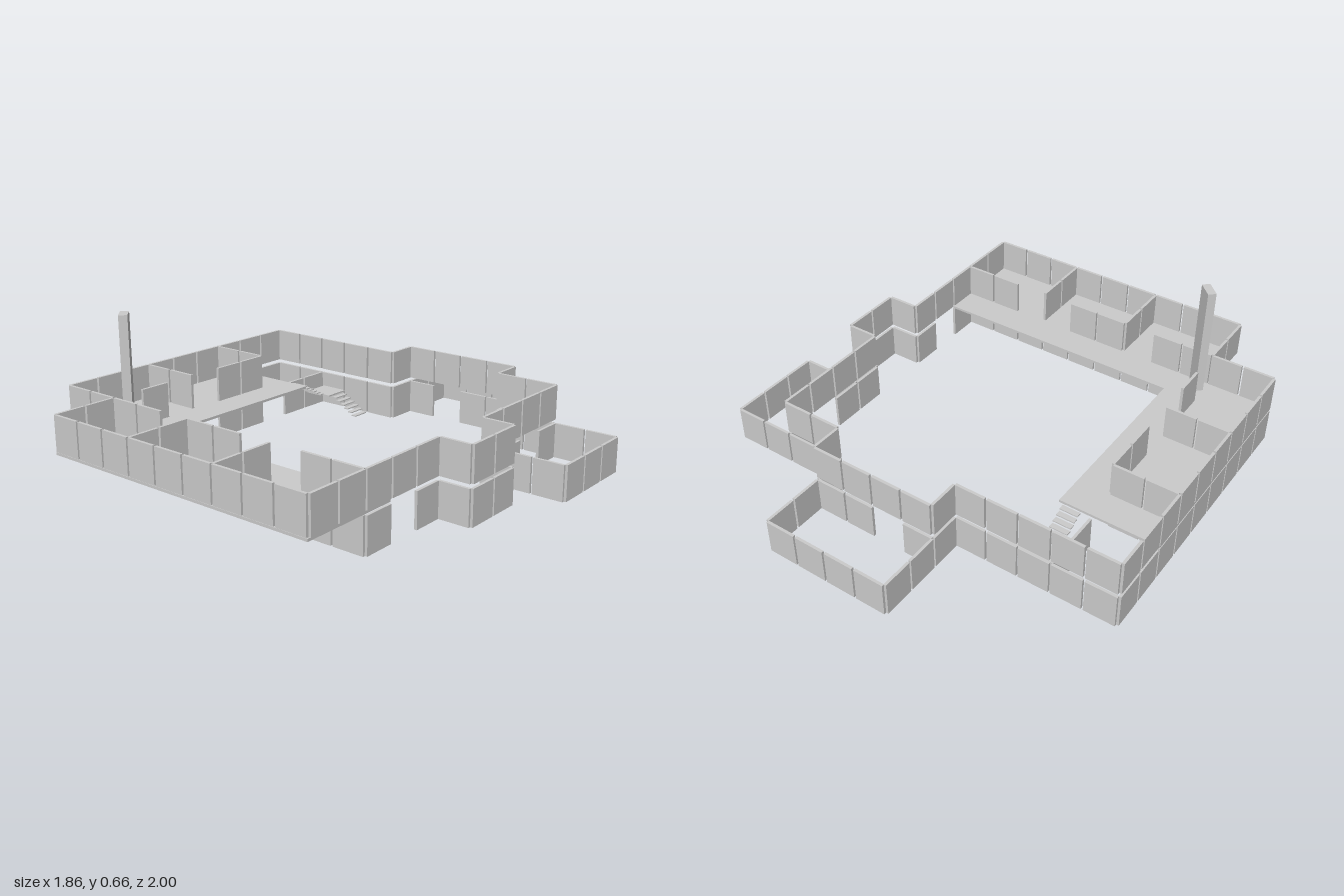
import * as THREE from 'three';

const P = 0.1422;                       // wall panel pitch
const gx = i => -0.925 + i * P;         // grid columns
const gz = j => -0.995 + j * P;         // grid rows
const grey = new THREE.MeshStandardMaterial({ color: 0xcccccc, flatShading: true });

function box(parent, name, w, h, d, x, y, z) {
  const m = new THREE.Mesh(new THREE.BoxGeometry(w, h, d), grey);
  m.position.set(x, y, z);
  m.name = name;
  parent.add(m);
  return m;
}

// Rows of panels: ['x', row, from, to] runs along x, ['z', column, from, to] runs along z
function walls(name, y0, runs) {
  const g = new THREE.Group();
  g.name = name;
  const L = 0.133, H = 0.149, T = 0.012;
  for (const [axis, line, a, b] of runs)
    for (let k = a; k < b; k++) {
      if (axis === 'x') box(g, 'wallPanel', L, H, T, gx(k + 0.5), y0 + H / 2, gz(line));
      else box(g, 'wallPanel', T, H, L, gx(line), y0 + H / 2, gz(k + 0.5));
    }
  return g;
}

// Runs found on both storeys
const shared = [
  ['z', 0, 3, 12], ['x', 3, 0, 5], ['x', 12, 0, 2],          // left wing
  ['z', 2, 6, 8], ['z', 2, 10, 11], ['x', 6, 0, 2], ['x', 9, 0, 2], // left wing rooms
  ['x', 7, 11, 12], ['z', 12, 7, 9], ['x', 9, 11, 12],       // side bay
];

const lower = [
  ...shared,
  ['x', 12, 2, 11],                                          // front
  ['z', 2, 3, 5],                                            // room beside the stairs
  ['z', 5, 0, 3], ['z', 9, 0, 3], ['x', 0, 5, 9],            // back room
  ['x', 2, 5, 6], ['x', 2, 7, 9],
  ['x', 3, 9, 13], ['z', 13, 3, 6], ['x', 6, 11, 13],        // side room
  ['z', 11, 3, 4], ['z', 11, 5, 7],
  ['z', 11, 9, 10], ['z', 11, 11, 12],                       // beside the doorway
];

const upper = [
  ...shared,
  ['z', 2, 12, 14], ['x', 14, 2, 11], ['z', 11, 9, 14],      // overhanging front
  ['x', 12, 2, 4], ['x', 12, 5, 7], ['x', 12, 9, 11],        // front rooms
  ['z', 5, 12, 14], ['z', 8, 12, 14],
  ['z', 11, 3, 7], ['x', 3, 9, 11],                          // back
  ['z', 9, 2, 3], ['x', 2, 5, 9], ['z', 5, 2, 3],
];

function floorSlab() {
  const pts = [[-0.93, -0.283], [-0.497, -0.283], [-0.497, 0.57], [0.638, 0.57],
    [0.638, 1.0], [-0.64, 1.0], [-0.64, 0.71], [-0.93, 0.71]];
  const shape = new THREE.Shape(pts.map(([x, z]) => new THREE.Vector2(x, -z)));
  const geo = new THREE.ExtrudeGeometry(shape, { depth: 0.011, bevelEnabled: false });
  geo.rotateX(-Math.PI / 2);
  const m = new THREE.Mesh(geo, grey);
  m.position.y = 0.154;
  m.name = 'upperFloor';
  return m;
}

function stairs() {
  const g = new THREE.Group();
  g.name = 'stairs';
  const n = 6, step = 0.0235;
  for (let i = 0; i < n; i++) {
    box(g, 'lowerTread', step, 0.005, 0.08, -0.357 - i * step, 0.006 + i * 0.0133, -0.5);
    box(g, 'upperTread', 0.08, 0.005, step, -0.558, 0.09 + i * 0.0128, -0.42 + i * step);
  }
  box(g, 'landing', 0.13, 0.006, 0.118, -0.556, 0.082, -0.498);
  return g;
}

function chimney() {
  const g = new THREE.Group();
  g.name = 'chimney';
  const W = 0.134, D = 0.072, w = 0.078, d = 0.036;
  box(g, 'fireplace', W, 0.07, D, 0, 0.035, 0);
  // Hood narrows from the fireplace to the shaft
  const hood = box(g, 'hood', W, 0.035, D, 0, 0.0875, 0);
  const p = hood.geometry.attributes.position;
  for (let i = 0; i < p.count; i++)
    if (p.getY(i) > 0) {
      p.setX(i, Math.sign(p.getX(i)) * w / 2);
      p.setZ(i, Math.sign(p.getZ(i)) * d / 2);
    }
  hood.geometry.computeVertexNormals();
  box(g, 'shaft', w, 0.553, d, 0, 0.3815, 0);
  g.position.set(-0.601, 0, 0.669);
  g.rotation.y = -Math.PI / 4;
  return g;
}

export function createModel() {
  const model = new THREE.Group();
  model.name = 'house';
  model.add(walls('lowerWalls', 0, lower), walls('upperWalls', 0.167, upper),
    floorSlab(), stairs(), chimney());
  return model;
}
